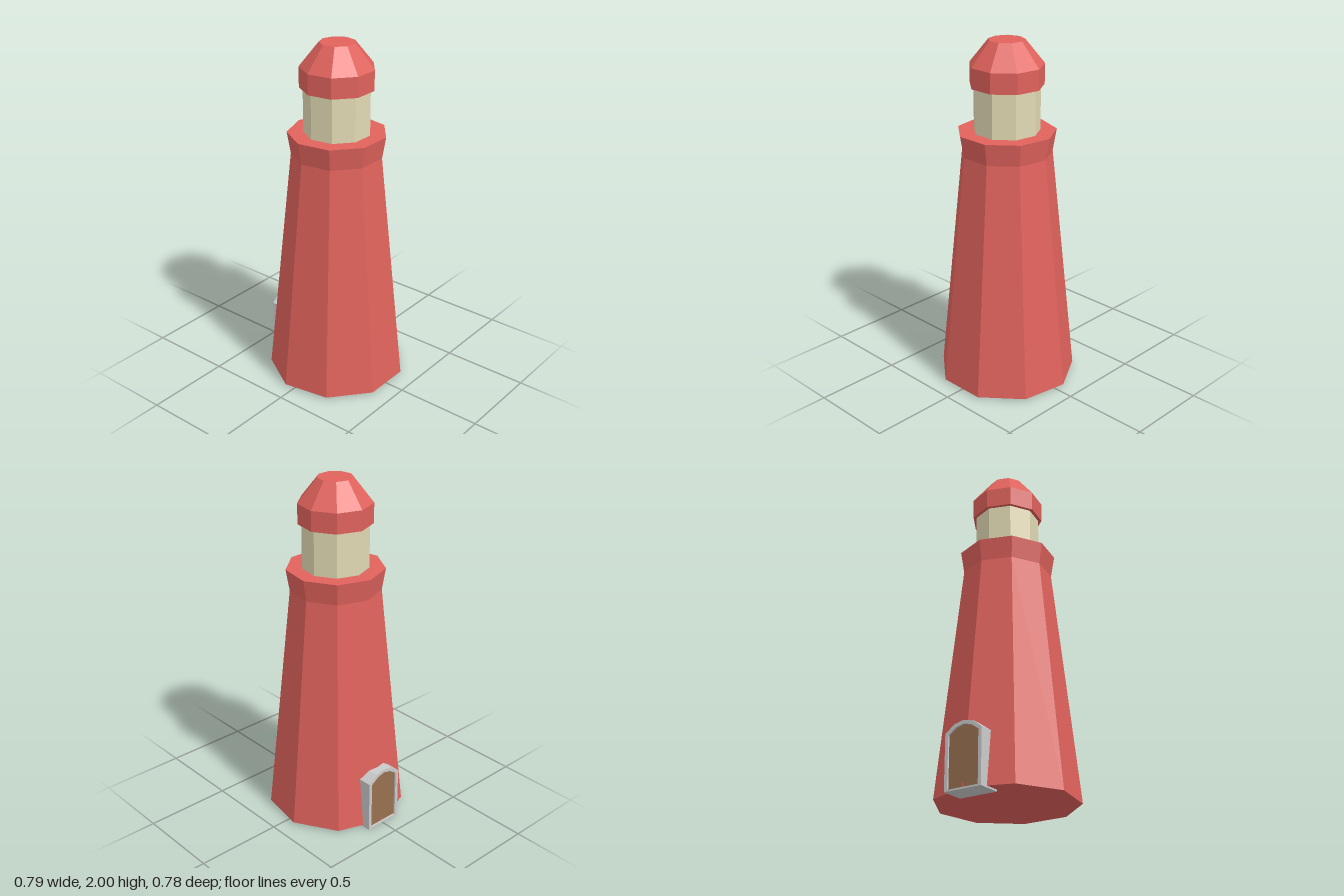
import * as THREE from 'three';

const SIDES = 9;
const CENTRE_Z = 0.014;
const DOOR_X = -0.005;
const BACK_Z = -0.393;

const paint = (color) => new THREE.MeshStandardMaterial({ color, flatShading: true });

// Nine-sided solid from a [radius, height] profile, with a corner pointing to the back
function turned(name, profile, material) {
  const points = profile.map(([r, y]) => new THREE.Vector2(r, y));
  const mesh = new THREE.Mesh(new THREE.LatheGeometry(points, SIDES, Math.PI), material);
  mesh.position.z = CENTRE_Z;
  mesh.name = name;
  return mesh;
}

// Outline of the faceted door arch, drawn inset from its outer edge
function archPoints(inset) {
  const w = 0.115 - inset;
  const right = [[w, inset * 0.5], [w, 0.31 - inset * 0.5], [w * 0.5, 0.353 - inset]];
  const left = right.map(([x, y]) => [-x, y]).reverse();
  return [...right, [0, 0.365 - inset], ...left].map(([x, y]) => new THREE.Vector2(x, y));
}

function extruded(name, shape, zStart, zEnd, material) {
  const geometry = new THREE.ExtrudeGeometry(shape, { depth: zEnd - zStart, bevelEnabled: false });
  const mesh = new THREE.Mesh(geometry, material);
  mesh.position.set(DOOR_X, 0, zStart);
  mesh.name = name;
  return mesh;
}

export function createModel() {
  const model = new THREE.Group();
  model.name = 'lighthouse';
  const red = paint(0xe0625c);
  const cream = paint(0xe2dab4);
  const grey = paint(0xcccccc);
  const brown = paint(0x97704f);

  // Tapered tower flaring out to the gallery
  model.add(turned('tower', [[0, 0.01], [0.4, 0.01], [0.257, 1.37], [0.278, 1.495], [0, 1.495]], red));

  // Lantern room and its cap
  model.add(turned('lanternRoom', [[0.187, 1.49], [0.187, 1.755]], cream));
  model.add(turned('roof', [[0, 1.75], [0.207, 1.75], [0.208, 1.865], [0.1, 2], [0, 2]], red));

  // Doorway at the back: arched surround with a recessed door
  const doorway = new THREE.Group();
  doorway.name = 'doorway';
  const surround = new THREE.Shape(archPoints(0));
  surround.holes.push(new THREE.Path(archPoints(0.02)));
  doorway.add(extruded('doorSurround', surround, BACK_Z, -0.255, grey));
  doorway.add(extruded('door', new THREE.Shape(archPoints(0.02)), BACK_Z + 0.01, -0.26, brown));
  model.add(doorway);

  return model;
}
